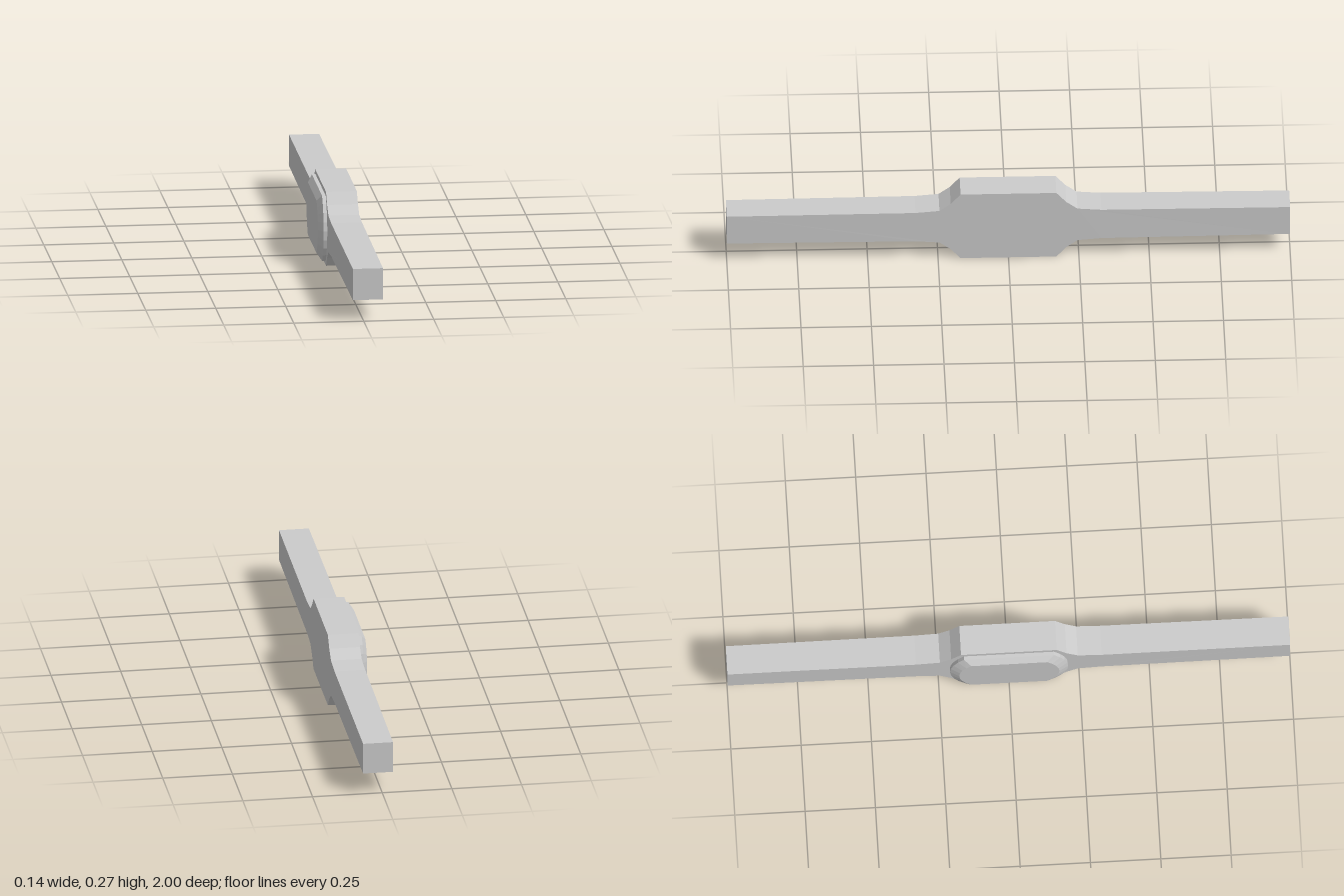
import * as THREE from 'three';

const MID_Y = 0.135;

// Side outline of one quarter: [z, height above the middle line]
const QUARTER = [[1, 0.057], [0.33, 0.06], [0.245, 0.067], [0.205, 0.096], [0.17, 0.135]];

// Bar that swells into a block in the middle, extruded across x
function barGeometry() {
  const back = [...QUARTER].reverse();
  const outline = [
    ...QUARTER,
    ...back.map(([z, y]) => [-z, y]),
    ...QUARTER.map(([z, y]) => [-z, -y]),
    ...back.map(([z, y]) => [z, -y]),
  ].map(([z, y]) => new THREE.Vector2(z, y + MID_Y));
  const geo = new THREE.ExtrudeGeometry(new THREE.Shape(outline), { depth: 0.11, bevelEnabled: false });
  geo.rotateY(-Math.PI / 2).translate(0.07, 0, 0);
  // the arms narrow very slightly towards their ends
  const p = geo.attributes.position;
  for (let i = 0; i < p.count; i++) {
    if (Math.abs(p.getZ(i)) > 0.9) p.setX(i, 0.015 + (p.getX(i) - 0.015) * 0.975);
  }
  geo.computeVertexNormals();
  return geo;
}

// Closed ring: straight top and bottom, shallow arcs at both ends
function ring(x, halfHeight, straight, reach, segments = 8) {
  const sag = reach - straight;
  const radius = (halfHeight ** 2 + sag ** 2) / (2 * sag);
  const sweep = Math.asin(halfHeight / radius);
  const points = [];
  for (const side of [1, -1]) {
    for (let i = 0; i <= segments; i++) {
      const a = -sweep + (2 * sweep * i) / segments;
      const z = reach - radius + radius * Math.cos(a);
      points.push([x, MID_Y + side * radius * Math.sin(a), side * z]);
    }
  }
  return points;
}

// Raised panel lofted through rings, closed by a flat cap
function panelGeometry() {
  const rings = [
    ring(-0.035, 0.119, 0.16, 0.21),
    ring(-0.053, 0.119, 0.16, 0.21),
    ring(-0.07, 0.096, 0.135, 0.178),
  ];
  const n = rings[0].length;
  const tris = [];
  for (let i = 0; i < n; i++) {
    const j = (i + 1) % n;
    for (let r = 0; r < rings.length - 1; r++) {
      const a = rings[r], b = rings[r + 1];
      tris.push(a[i], a[j], b[j], a[i], b[j], b[i]);
    }
    const top = rings[rings.length - 1];
    tris.push([-0.07, MID_Y, 0], top[i], top[j]);
  }
  const geo = new THREE.BufferGeometry();
  geo.setAttribute('position', new THREE.Float32BufferAttribute(tris.flat(), 3));
  geo.computeVertexNormals();
  return geo;
}

export function createModel() {
  const material = new THREE.MeshStandardMaterial({ color: 0xcccccc, flatShading: true });
  const group = new THREE.Group();
  const add = (name, geometry) => {
    const mesh = new THREE.Mesh(geometry, material);
    mesh.name = name;
    group.add(mesh);
  };
  add('barBody', barGeometry());
  add('raisedPanel', panelGeometry());
  return group;
}
